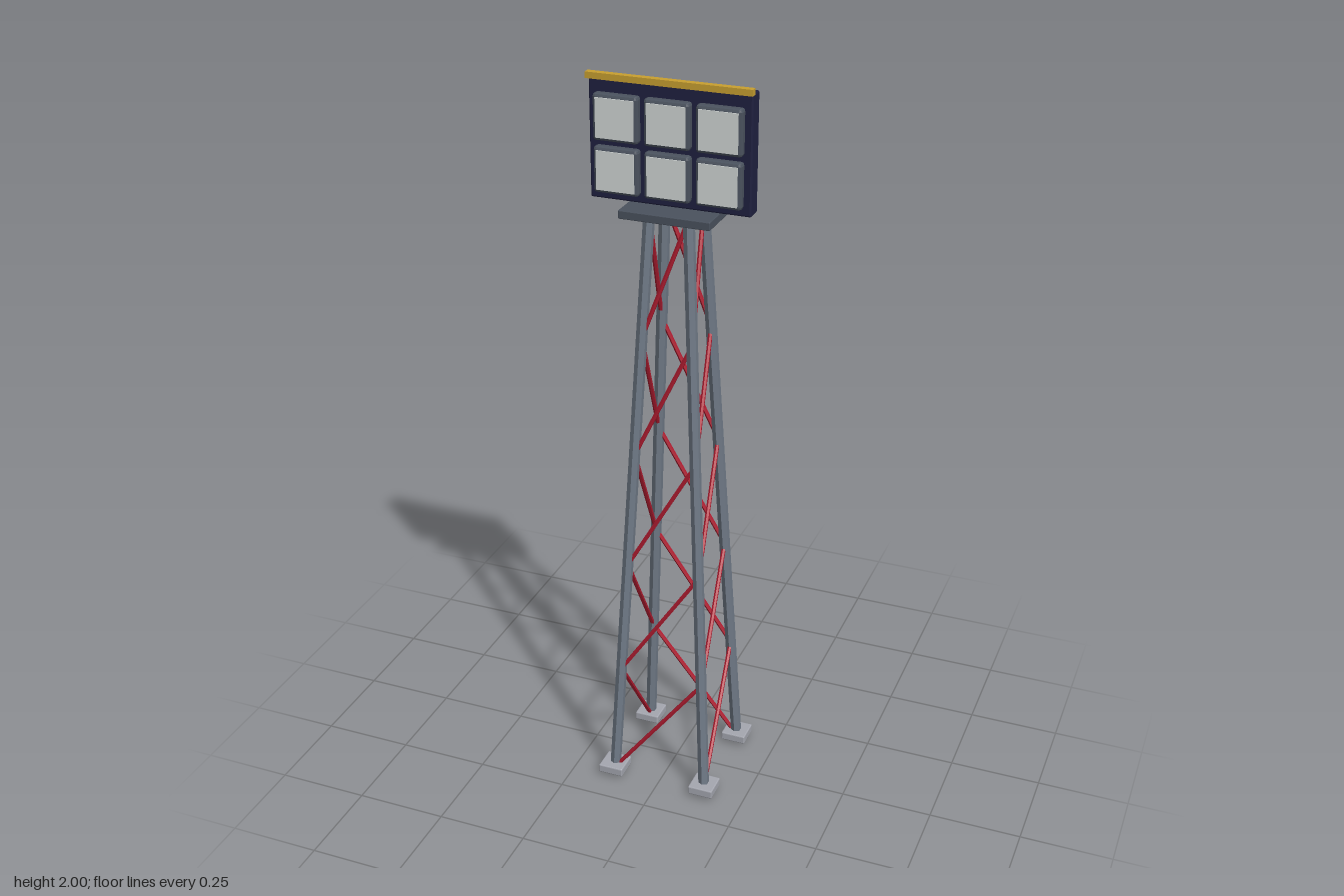
import * as THREE from 'three';
import { RoundedBoxGeometry } from 'three/addons/geometries/RoundedBoxGeometry.js';

const paint = (name, color) => {
  const m = new THREE.MeshStandardMaterial({ color });
  m.name = name;
  return m;
};

export function createModel() {
  const steel = paint('steel grey', 0x717b88);
  const slate = paint('dark slate', 0x4a525e);
  const concrete = paint('concrete', 0xa5a7b0);
  const red = paint('brace red', 0xb01c30);
  const navy = paint('navy', 0x1f2040);
  const yellow = paint('yellow', 0xc9a030);
  const glass = paint('pale lens', 0xd2d7d6);

  const model = new THREE.Group();
  model.name = 'floodlightTower';

  const add = (name, geometry, material, x = 0, y = 0, z = 0) => {
    const mesh = new THREE.Mesh(geometry, material);
    mesh.name = name;
    mesh.position.set(x, y, z);
    model.add(mesh);
    return mesh;
  };

  // Box with a flat chamfer on every edge
  const chamferBox = (w, h, d, bevel) => {
    const g = new RoundedBoxGeometry(w, h, d, 1, bevel);
    g.computeVertexNormals();
    return g;
  };

  // Faceted bar between two points
  const bar = (name, a, b, radius, material) => {
    const dir = b.clone().sub(a);
    let g = new THREE.CylinderGeometry(radius, radius, dir.length(), 6);
    g = g.toNonIndexed();
    g.computeVertexNormals();
    const mesh = add(name, g, material);
    mesh.position.copy(a).add(b).multiplyScalar(0.5);
    mesh.quaternion.setFromUnitVectors(new THREE.Vector3(0, 1, 0), dir.normalize());
  };

  // Four tapering legs, listed in order around the tower
  const corners = [[-1, 1], [1, 1], [1, -1], [-1, -1]];
  const legTop = 1.66;
  const legPoint = (corner, y) => {
    const r = THREE.MathUtils.lerp(0.135, 0.052, y / legTop);
    return new THREE.Vector3(corner[0] * r, y, corner[1] * r);
  };
  corners.forEach((c) => {
    bar('leg', legPoint(c, 0.001), legPoint(c, legTop), 0.015, steel);
    add('footing', chamferBox(0.07, 0.024, 0.07, 0.003), concrete, c[0] * 0.135, 0.023, c[1] * 0.135);
  });

  // One rising diagonal per side and level, winding around the tower
  const levels = 5;
  const step = 0.329;
  corners.forEach((c, i) => {
    const next = corners[(i + 1) % 4];
    for (let k = 0; k < levels; k++) {
      const y = 0.015 + k * step;
      bar('brace', legPoint(c, y), legPoint(next, y + step), 0.006, red);
    }
  });

  // Platform, lamp panel and visor
  add('platform', chamferBox(0.24, 0.022, 0.177, 0.002), slate, 0, 1.661, 0);
  add('lampPanel', chamferBox(0.42, 0.302, 0.046, 0.004), navy, 0, 1.833, 0.024);
  add('visor', new THREE.BoxGeometry(0.426, 0.016, 0.018), yellow, 0, 1.992, 0.051);

  // Six floodlights in two rows
  for (const x of [-0.133, 0, 0.133]) {
    for (const y of [1.762, 1.894]) {
      add('lampHousing', chamferBox(0.118, 0.118, 0.028, 0.008), slate, x, y, 0.057);
      add('lens', new THREE.BoxGeometry(0.1, 0.1, 0.006), glass, x, y, 0.071);
    }
  }
  return model;
}
